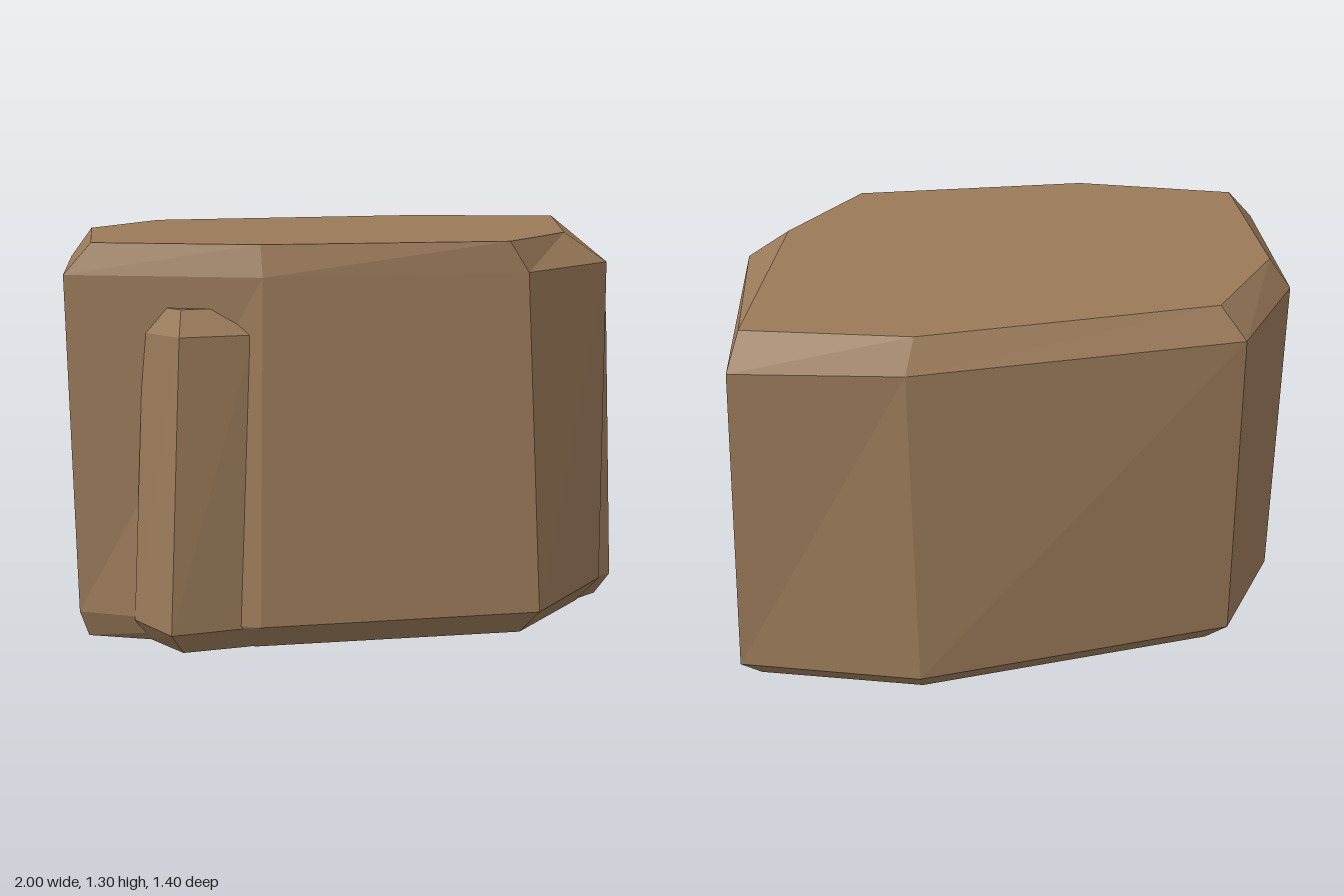
import * as THREE from 'three';

// Faceted solid from stacked rings; each ring is [y, [x, z], [x, z], ...] in matching order.
function loft(rings, material, name) {
  const pos = [];
  const n = rings[0].length - 1;
  const point = (r, i) => {
    const p = rings[r][1 + (i % n)];
    return [p[0], rings[r][0], p[1]];
  };
  const tri = (a, b, c) => pos.push(...a, ...b, ...c);
  for (let r = 0; r < rings.length - 1; r++) {
    for (let i = 0; i < n; i++) {
      const a = point(r, i), b = point(r, i + 1);
      const c = point(r + 1, i + 1), d = point(r + 1, i);
      tri(a, b, c);
      tri(a, c, d);
    }
  }
  // flat caps
  const top = rings.length - 1;
  for (let i = 1; i < n - 1; i++) {
    tri(point(top, 0), point(top, i), point(top, i + 1));
    tri(point(0, 0), point(0, i + 1), point(0, i));
  }
  const geometry = new THREE.BufferGeometry();
  geometry.setAttribute('position', new THREE.Float32BufferAttribute(pos, 3));
  geometry.computeVertexNormals();
  const mesh = new THREE.Mesh(geometry, material);
  mesh.name = name;
  return mesh;
}

export function createModel() {
  const group = new THREE.Group();
  group.name = 'rock';
  const stone = new THREE.MeshStandardMaterial({ color: 0x9a7a59 });
  stone.name = 'brown stone';
  stone.flatShading = true;

  // main block with chamfered top and bottom
  group.add(loft([
    [0, [-0.95, 0.33], [-0.43, 0.57], [0.45, 0.62], [0.76, 0.33],
      [0.93, -0.44], [0.4, -0.62], [-0.62, -0.55], [-0.86, -0.24]],
    [0.09, [-0.98, 0.35], [-0.43, 0.655], [0.49, 0.7], [0.825, 0.375],
      [1.0, -0.5], [0.42, -0.7], [-0.67, -0.625], [-0.93, -0.27]],
    [1.2, [-1.0, 0.35], [-0.4, 0.575], [0.46, 0.615], [0.83, 0.35],
      [0.96, -0.515], [0.43, -0.64], [-0.66, -0.62], [-0.93, -0.27]],
    [1.3, [-0.91, 0.345], [-0.4, 0.54], [0.4, 0.6], [0.69, 0.31],
      [0.91, -0.425], [0.39, -0.575], [-0.59, -0.55], [-0.86, -0.24]],
  ], stone, 'mainBlock'));

  // raised slab on the front
  group.add(loft([
    [0, [-0.76, 0.41], [-0.67, 0.58], [-0.45, 0.565], [-0.4, 0.35]],
    [0.08, [-0.81, 0.45], [-0.715, 0.645], [-0.46, 0.62], [-0.38, 0.38]],
    [1.02, [-0.76, 0.43], [-0.665, 0.578], [-0.43, 0.567], [-0.4, 0.36]],
    [1.1, [-0.72, 0.42], [-0.65, 0.52], [-0.46, 0.51], [-0.42, 0.36]],
  ], stone, 'frontSlab'));

  // raised slab on the side
  group.add(loft([
    [0, [0.76, 0.32], [0.855, 0.26], [0.83, 0.04], [0.68, 0.04]],
    [0.08, [0.8, 0.345], [0.895, 0.3], [0.875, 0.1], [0.7, 0.05]],
    [1.015, [0.8, 0.285], [0.872, 0.255], [0.866, 0.11], [0.72, 0.08]],
    [1.04, [0.79, 0.27], [0.846, 0.25], [0.84, 0.12], [0.72, 0.1]],
  ], stone, 'sideSlab'));

  return group;
}
